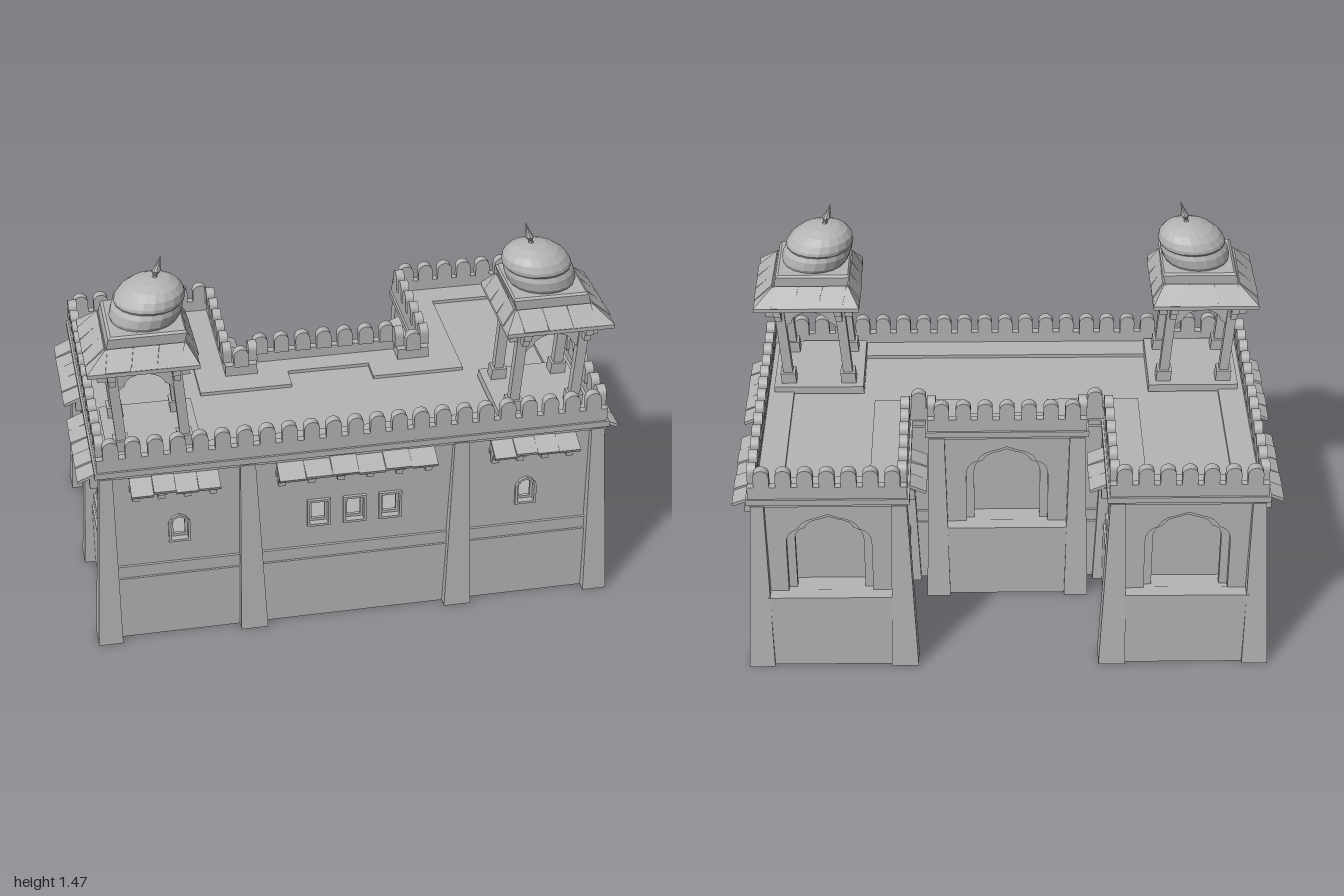
import * as THREE from 'three';

const stone = new THREE.MeshStandardMaterial({ color: 0xb4b4b4, side: THREE.DoubleSide });
stone.name = 'grey stone';

function add(parent, name, geometry, x = 0, y = 0, z = 0) {
  const m = new THREE.Mesh(geometry, stone);
  m.name = name;
  m.position.set(x, y, z);
  parent.add(m);
  return m;
}
const V = (x, y) => new THREE.Vector2(x, y);
const box = (w, h, d) => new THREE.BoxGeometry(w, h, d);
const extrude = (shape, depth) => new THREE.ExtrudeGeometry(shape, { depth, bevelEnabled: false, curveSegments: 6 });
const mirrored = half => [...half, ...half.map(([x, z]) => [-x, z]).reverse()];

// U-shaped footprint, moved outwards by d
const outline = d => mirrored([
  [0.905 + d, 0.5 + d], [0.905 + d, -0.53 - d], [0.39 - d, -0.53 - d],
  [0.39 - d, -0.02 - d], [0.27 + d, -0.02 - d], [0.27 + d, -0.1 - d]]);

// Horizontal slab or ring following an outline
function slab(parent, name, outer, y0, y1, inner) {
  const pts = p => p.map(([x, z]) => V(x, -z));
  const shape = new THREE.Shape(pts(outer));
  if (inner) shape.holes.push(new THREE.Path(pts(inner)));
  add(parent, name, extrude(shape, y1 - y0).rotateX(-Math.PI / 2), 0, y0, 0);
}

// Cusped pointed arch from bottom left to bottom right
function archPoints(u, w, y0, spring, apex) {
  const h = apex - spring, p = new THREE.Path();
  p.moveTo(-w / 2, y0);
  p.lineTo(-w / 2, spring);
  p.quadraticCurveTo(-w * 0.5, spring + h * 0.42, -w * 0.36, spring + h * 0.5);
  p.quadraticCurveTo(-w * 0.32, spring + h * 0.8, -w * 0.14, spring + h * 0.88);
  p.lineTo(0, apex);
  const left = p.getPoints(5);
  const right = left.slice(0, -1).reverse().map(q => V(-q.x, q.y));
  return [...left, ...right].map(q => V(q.x + u, q.y));
}
const rectPoints = (u, w, y0, y1) => [V(u - w / 2, y0), V(u - w / 2, y1), V(u + w / 2, y1), V(u + w / 2, y0)];

function plate(outer, holes, depth) {
  const shape = new THREE.Shape(outer);
  holes.forEach(h => shape.holes.push(new THREE.Path(h)));
  return extrude(shape, depth);
}

// Window outline: rectangular or arched, grown by g
function windowPoints({ u, w, h, arched }, g) {
  const y0 = 0.455 - h / 2 - g, y1 = 0.455 + h / 2 + g, W = w + 2 * g;
  return arched ? archPoints(u, W, y0, y1 - W * 0.55, y1) : rectPoints(u, W, y0, y1);
}

// One wall with its windows, niches and awnings; local z points outwards
function facade(parent, name, turn, dist, u0, u1, { windows = [], niches = [], awnings = [] }) {
  const g = new THREE.Group();
  g.name = name;
  g.rotation.y = turn;
  g.position.set(Math.sin(turn) * dist, 0, Math.cos(turn) * dist);
  parent.add(g);
  const nicheArch = (u, k) => archPoints(u, 0.31 - 2 * k, 0.3, 0.52, 0.65 - k);
  const holes = [...windows.map(w => windowPoints(w, 0.01)), ...niches.map(u => nicheArch(u, 0))];
  add(g, 'wall', plate(rectPoints((u0 + u1) / 2, u1 - u0, 0.26, 0.71), holes, 0.03), 0, 0, -0.03);
  for (const w of windows) {
    add(g, 'windowFrame', plate(windowPoints(w, 0.019), [windowPoints(w, 0.01)], 0.012));
    add(g, 'windowInset', plate(windowPoints(w, 0.012), [windowPoints(w, 0)], 0.012), 0, 0, -0.025);
  }
  for (const u of niches) {
    const panel = rectPoints(u, 0.36, 0.28, 0.68);
    add(g, 'nicheArch', plate(panel, [nicheArch(u, 0.03)], 0.03), 0, 0, -0.06);
    add(g, 'nicheBack', box(0.36, 0.4, 0.01), u, 0.48, -0.09);
    add(g, 'nicheFloor', box(0.36, 0.02, 0.1), u, 0.295, -0.045);
    // Projecting base below the niche
    add(g, 'nicheBase', box(0.46, 0.31, 0.015), u, 0.155, 0.04);
    add(g, 'nicheLedge', box(0.46, 0.02, 0.05), u, 0.3, 0.02);
  }
  for (const [a, b, panels, brackets] of awnings) {
    const step = (b - a) / panels;
    for (let i = 0; i < panels; i++) {
      const p = add(g, 'awningPanel', box(step * 0.99, 0.012, 0.1), a + step * (i + 0.5), 0.685 + 0.004 * Math.sin(i * 2.4 + a * 9), 0.046);
      p.rotation.x = 0.38 + 0.05 * Math.sin(i * 3.7 + 1);
    }
    add(g, 'awningRail', box(b - a, 0.015, 0.02), (a + b) / 2, 0.645, 0.008);
    for (let i = 0; i < brackets; i++) {
      const u = a + 0.02 + (b - a - 0.04) * i / (brackets - 1);
      add(g, 'bracketFoot', box(0.026, 0.035, 0.025), u, 0.617, 0.012);
      add(g, 'bracketHead', box(0.032, 0.045, 0.05), u, 0.655, 0.025);
    }
  }
}

// Battered pilaster, open below: [x0, x1, z0, z1] at the foot and at the head
function pilaster(parent, foot, head) {
  const geo = box(1, 1, 1), p = geo.attributes.position;
  for (let i = 0; i < p.count; i++) {
    const r = p.getY(i) > 0 ? head : foot;
    p.setXYZ(i, p.getX(i) < 0 ? r[0] : r[1], p.getY(i) > 0 ? 0.705 : 0, p.getZ(i) < 0 ? r[2] : r[3]);
  }
  geo.setIndex([...geo.index.array].filter((_, i) => i < 18 || i >= 24));
  geo.computeVertexNormals();
  add(parent, 'pilaster', geo);
}

// Rooftop domed pavilion; its outline bends sideways with height
function pavilion(s) {
  const g = new THREE.Group();
  g.name = 'domedPavilion';
  g.position.set(s * 0.715, 0, 0.31);
  const part = (name, geometry, x = 0, y = 0, z = 0) => {
    const geo = (geometry.index ? geometry.toNonIndexed() : geometry).translate(x, y, z);
    const p = geo.attributes.position;
    for (let i = 0; i < p.count; i++) {
      const h = p.getY(i);
      const bend = 0.09 * (Math.min(h, 1.12) - 0.77) - 0.25 * Math.max(0, h - 1.13) - 0.05 * Math.max(0, h - 1.24);
      p.setX(i, p.getX(i) + s * bend);
    }
    geo.computeVertexNormals();
    add(g, name, geo);
  };
  const lathe = (pts, n) => new THREE.LatheGeometry(pts.map(([r, y]) => V(r, y)), n, n === 4 ? Math.PI / 4 : 0);
  const square = pts => lathe(pts.map(([r, y]) => [r * Math.SQRT2, y]), 4);

  part('platform', box(0.34, 0.03, 0.34), 0, 0.755, 0);
  for (const x of [-1, 1]) for (const z of [-1, 1]) {
    part('columnBase', box(0.056, 0.045, 0.056), x * 0.114, 0.79, z * 0.114);
    part('column', box(0.036, 0.37, 0.036), x * 0.114, 0.955, z * 0.114);
    for (const [dx, dz] of [[1, 0], [0, 1]]) {
      part('eaveBracketLower', box(0.024 + dx * 0.016, 0.03, 0.024 + dz * 0.016), x * (0.114 + dx * 0.03), 1.07, z * (0.114 + dz * 0.03));
      part('eaveBracketUpper', box(0.028 + dx * 0.034, 0.04, 0.028 + dz * 0.034), x * (0.114 + dx * 0.035), 1.105, z * (0.114 + dz * 0.035));
    }
  }
  // Cusped arches on all four sides
  for (let i = 0; i < 4; i++) {
    const pts = [...archPoints(0, 0.2, 0.96, 0.975, 1.08), V(0.125, 0.96), V(0.125, 1.15), V(-0.125, 1.15), V(-0.125, 0.96)];
    part('cuspedArch', extrude(new THREE.Shape(pts), 0.02).translate(0, 0, 0.103).rotateY(i * Math.PI / 2));
    // Overlapping eave slabs
    for (const u of [-0.09, 0, 0.09]) {
      part('eaveSlab', box(0.088, 0.01, 0.085).rotateX(0.86 + u * 0.4).translate(u, 1.162, 0.168).rotateY(i * Math.PI / 2));
    }
  }
  part('eaves', square([[0.1, 1.135], [0.197, 1.115], [0.197, 1.13], [0.142, 1.193], [0.1, 1.193]]));
  part('domeBlock', square([[0, 1.14], [0.13, 1.14], [0.136, 1.19], [0.138, 1.23], [0.13, 1.237], [0, 1.237]]));
  part('dome', lathe([[0, 1.235], [0.118, 1.235], [0.126, 1.25], [0.127, 1.282], [0.12, 1.3], [0.125, 1.308],
    [0.124, 1.32], [0.113, 1.343], [0.09, 1.364], [0.055, 1.38], [0.02, 1.386], [0, 1.388]], 20));
  part('finial', lathe([[0.012, 1.38], [0.007, 1.395], [0.016, 1.41], [0.009, 1.43], [0, 1.47]], 8));
  return g;
}

export function createModel() {
  const model = new THREE.Group();
  model.name = 'courtyardPalace';
  const body = new THREE.Group();
  body.name = 'building';
  model.add(body);

  // Plinth, floor, cornice, roof and parapet
  slab(body, 'plinth', outline(0.018), 0, 0.26, outline(0));
  slab(body, 'stringCourse', outline(0.01), 0.26, 0.308, outline(-0.01));
  slab(body, 'floor', outline(-0.005), 0.27, 0.28);
  slab(body, 'roof', outline(0), 0.7, 0.735);
  slab(body, 'roofBorder', outline(0), 0.735, 0.748, mirrored([
    [0.81, 0.4], [0.81, -0.43], [0.5, -0.43], [0.5, 0.08], [0.155, 0.08], [0.155, -0.015]]));
  slab(body, 'lowerCornice', outline(0.022), 0.7, 0.717, outline(-0.01));
  slab(body, 'upperCornice', outline(0.036), 0.717, 0.74, outline(-0.01));
  slab(body, 'parapet', outline(0.028), 0.74, 0.79, outline(0));

  // Round-topped merlons along every edge
  const merlonShape = new THREE.Shape();
  merlonShape.moveTo(-0.028, -0.005);
  merlonShape.lineTo(0.028, -0.005);
  merlonShape.lineTo(0.028, 0.042);
  merlonShape.absarc(0, 0.042, 0.028, 0, Math.PI, false);
  const merlon = extrude(merlonShape, 0.033).translate(0, 0, -0.02);
  const edge = outline(0.015);
  edge.forEach(([ax, az], i) => {
    const [bx, bz] = edge[(i + 1) % edge.length];
    const n = Math.max(1, Math.round(Math.hypot(bx - ax, bz - az) / 0.08));
    for (let k = 0; k < n; k++) {
      const t = (k + 0.5) / n;
      add(body, 'merlon', merlon, ax + (bx - ax) * t, 0.79, az + (bz - az) * t).rotation.y = Math.atan2(-(bz - az), bx - ax);
    }
  });

  // Front and rear walls
  const arched = u => ({ u, w: 0.042, h: 0.078, arched: true });
  facade(body, 'frontWall', 0, 0.5, -0.905, 0.905, {
    windows: [arched(-0.645), arched(0.645), ...[-0.133, 0, 0.133].map(u => ({ u, w: 0.048, h: 0.075 }))],
    awnings: [[-0.82, -0.5, 4, 4], [-0.29, 0.29, 6, 6], [0.5, 0.82, 4, 4]]
  });
  facade(body, 'courtWall', Math.PI, 0.1, -0.27, 0.27, { niches: [0] });

  for (const s of [-1, 1]) {
    const turn = s * Math.PI / 2;
    const span = (a, b) => [Math.min(-s * a, -s * b), Math.max(-s * a, -s * b)];
    // Outer side wall
    facade(body, 'sideWall', turn, 0.905, ...span(0.5, -0.53), {
      windows: [0.31, -0.155, -0.382].map(z => ({ u: -s * z, w: 0.024, h: 0.075 })),
      awnings: [[...span(0.465, 0.05), 5, 5], [...span(-0.06, -0.485), 5, 5]]
    });
    // Wall facing the courtyard, with a short return
    facade(body, 'courtSideWall', -turn, -0.39, ...span(0.02, 0.53), {
      windows: [arched(s * -0.3)],
      awnings: [[...span(0.18, 0.42), 3, 3]]
    });
    facade(body, 'courtReturnWall', turn, 0.27, ...span(-0.02, -0.1), {});
    facade(body, 'courtCornerWall', Math.PI, 0.02, ...(s > 0 ? [-0.39, -0.27] : [0.27, 0.39]), {});
    // Wing end with arched niche
    facade(body, 'wingEndWall', Math.PI, 0.53, ...(s > 0 ? [-0.905, -0.39] : [0.39, 0.905]), { niches: [-s * 0.652] });

    // Battered pilasters
    const half = (x0, x1, z0, z1) => s > 0 ? [x0, x1, z0, z1] : [-x1, -x0, z0, z1];
    const post = (foot, head) => pilaster(body, half(...foot), half(...head));
    post([0.875, 0.965, 0.46, 0.557], [0.878, 0.926, 0.475, 0.525]);
    post([0.335, 0.435, 0.47, 0.557], [0.365, 0.42, 0.47, 0.525]);
    post([0.875, 0.965, -0.06, 0.03], [0.88, 0.926, -0.045, 0.01]);
    post([0.87, 0.965, -0.592, -0.49], [0.878, 0.926, -0.557, -0.5]);
    post([0.335, 0.435, -0.592, -0.49], [0.365, 0.42, -0.557, -0.5]);
    post([0.22, 0.31, -0.165, -0.07], [0.235, 0.293, -0.126, -0.08]);
    post([0.335, 0.4, -0.065, 0], [0.365, 0.4, -0.042, 0]);
    model.add(pavilion(s));
  }
  return model;
}
